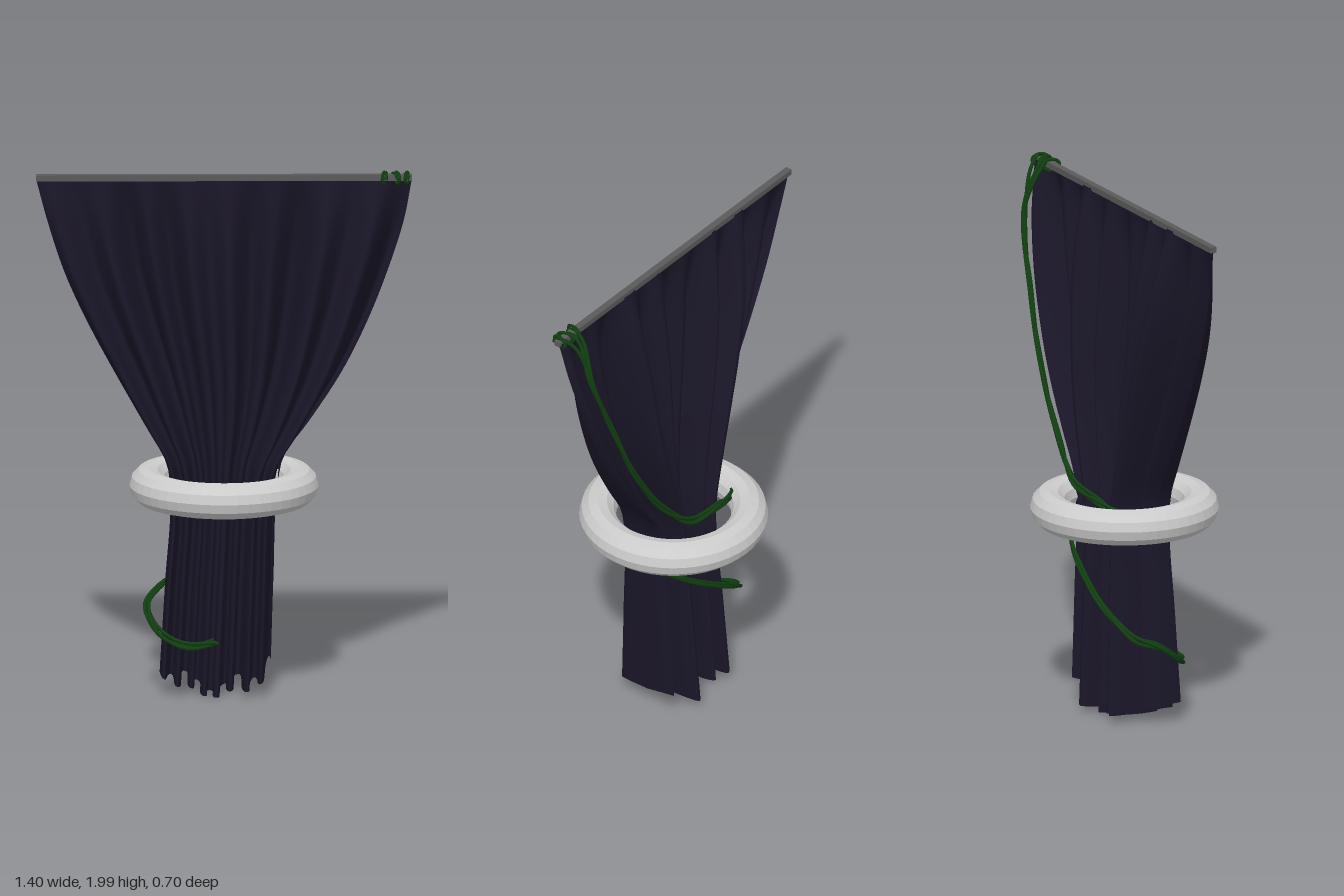
import * as THREE from 'three';

const mat = (color, extra = {}) => new THREE.MeshStandardMaterial({ color, ...extra });
const { lerp, smoothstep, clamp } = THREE.MathUtils;

function addMesh(parent, name, geometry, material) {
  const mesh = new THREE.Mesh(geometry, material);
  mesh.name = name;
  parent.add(mesh);
  return mesh;
}

// Drape outline by height: left edge, right edge, pleat depth
const heights = [0.06, 0.4, 0.75, 0.87, 1.0, 1.2, 1.4, 1.6, 1.8, 1.97];
const outline = [
  -0.24, 0.175, 0.17, -0.22, 0.185, 0.15, -0.2, 0.2, 0.13, -0.215, 0.225, 0.13,
  -0.285, 0.315, 0.126, -0.395, 0.44, 0.12, -0.5, 0.535, 0.11, -0.59, 0.61, 0.093,
  -0.655, 0.67, 0.06, -0.7, 0.7, 0.014,
];

// One pleated sheet: flat along the rod, gathered into uneven rounded folds, curved hem
function curtainGeometry() {
  const across = 320, down = 44;
  const profile = new THREE.CubicInterpolant(heights, outline, 3, new Float32Array(3));
  const geometry = new THREE.PlaneGeometry(2, 1, across, down);
  const pos = geometry.attributes.position;
  for (let i = 0; i < pos.count; i++) {
    const u = pos.getX(i);
    const v = 0.5 - pos.getY(i);
    const [left, right, depth] = profile.evaluate(lerp(1.97, 0.06, v));
    const gather = smoothstep(v, 0.15, 0.65);
    // narrow pleats riding on a broad wave, so some stay in front and some behind
    const phase = u * Math.PI * 8 + 0.8 * Math.sin(u * 4 + 1) + 0.4;
    const broad = Math.sin(u * Math.PI * 2.6 + 2.2);
    const fold = clamp(0.68 * Math.sin(phase) + 0.5 * broad, -1, 1);
    // shallower toward the side edges and in the middle
    const side = 1 - (u < 0 ? 0.36 : 0.2) * Math.abs(u) ** 2;
    const middle = 1 - 0.45 * Math.exp(-(((u + 0.08) / 0.26) ** 2));
    const roll = -0.026 * gather * (1 - u ** 4) * Math.sin(phase * 2 + 0.3);
    const z = depth * side * middle * fold;
    const hem = 0.012 + 0.085 * Math.abs(u) ** 1.8 + 0.2 * Math.max(0, -z) * Math.abs(u);
    pos.setXYZ(i,
      (left + right) / 2 + (right - left) / 2 * (u + roll),
      lerp(1.972, hem, v),
      z);
  }
  geometry.computeVertexNormals();
  return geometry;
}

const vinePath = [
  [0.68, 1.965, 0.035], [0.675, 1.99, 0], [0.66, 1.95, -0.045], [0.62, 1.8, -0.095],
  [0.53, 1.55, -0.12], [0.4, 1.25, -0.138], [0.24, 1.02, -0.15], [0.1, 0.9, -0.162],
  [-0.08, 0.86, -0.15], [-0.2, 0.83, -0.115], [-0.235, 0.81, 0], [-0.17, 0.79, 0.11],
  [0, 0.77, 0.12], [0.12, 0.75, 0.1], [0.215, 0.71, 0], [0.17, 0.67, -0.13],
  [0.03, 0.57, -0.165], [-0.14, 0.46, -0.155], [-0.26, 0.37, -0.1], [-0.285, 0.33, -0.01],
  [-0.24, 0.26, 0.1], [-0.14, 0.225, 0.165], [-0.03, 0.24, 0.17],
];

// A thin strand that wanders around the shared path, fanned out at the rod
function strandGeometry(k) {
  const points = vinePath.map(([x, y, z], i) => new THREE.Vector3(
    x + 0.01 * Math.sin(i * 1.9 + k * 2.1) - (i < 3 ? 0.035 * k : 0),
    y + (i > 2 ? 0.012 * Math.cos(i * 1.4 + k * 2.4) : 0),
    z + 0.005 * Math.sin(i * 2.3 + k * 2)));
  return new THREE.TubeGeometry(new THREE.CatmullRomCurve3(points), 150, 0.0075, 5);
}

export function createModel() {
  const model = new THREE.Group();
  model.name = 'gatheredCurtain';

  addMesh(model, 'curtain', curtainGeometry(), mat(0x1a1628, { side: THREE.DoubleSide }));

  // Flat rod along the top
  const rod = addMesh(model, 'rod', new THREE.BoxGeometry(1.4, 0.022, 0.026), mat(0x5a5a5a));
  rod.position.set(0, 1.974, 0.003);

  // Ring holding the drape together
  const ring = addMesh(model, 'ring', new THREE.TorusGeometry(0.283, 0.069, 12, 48),
    mat(0xcccccc, { flatShading: true }));
  ring.rotation.x = Math.PI / 2;
  ring.position.y = 0.802;

  // Vine: trailing strands and coils around the rod end
  const vine = new THREE.Group();
  vine.name = 'vine';
  model.add(vine);
  const green = mat(0x124012);
  for (let k = 0; k < 3; k++) addMesh(vine, 'vineStrand', strandGeometry(k), green);
  [0.595, 0.645, 0.68].forEach((x, i) => {
    const coil = addMesh(vine, 'vineCoil', new THREE.TorusGeometry(0.022, 0.006, 5, 14), green);
    coil.position.set(x, 1.972, 0.006);
    coil.rotation.y = Math.PI / 2 + (i % 2 ? 0.25 : -0.2);
    coil.scale.x = 1.4;
  });

  return model;
}
